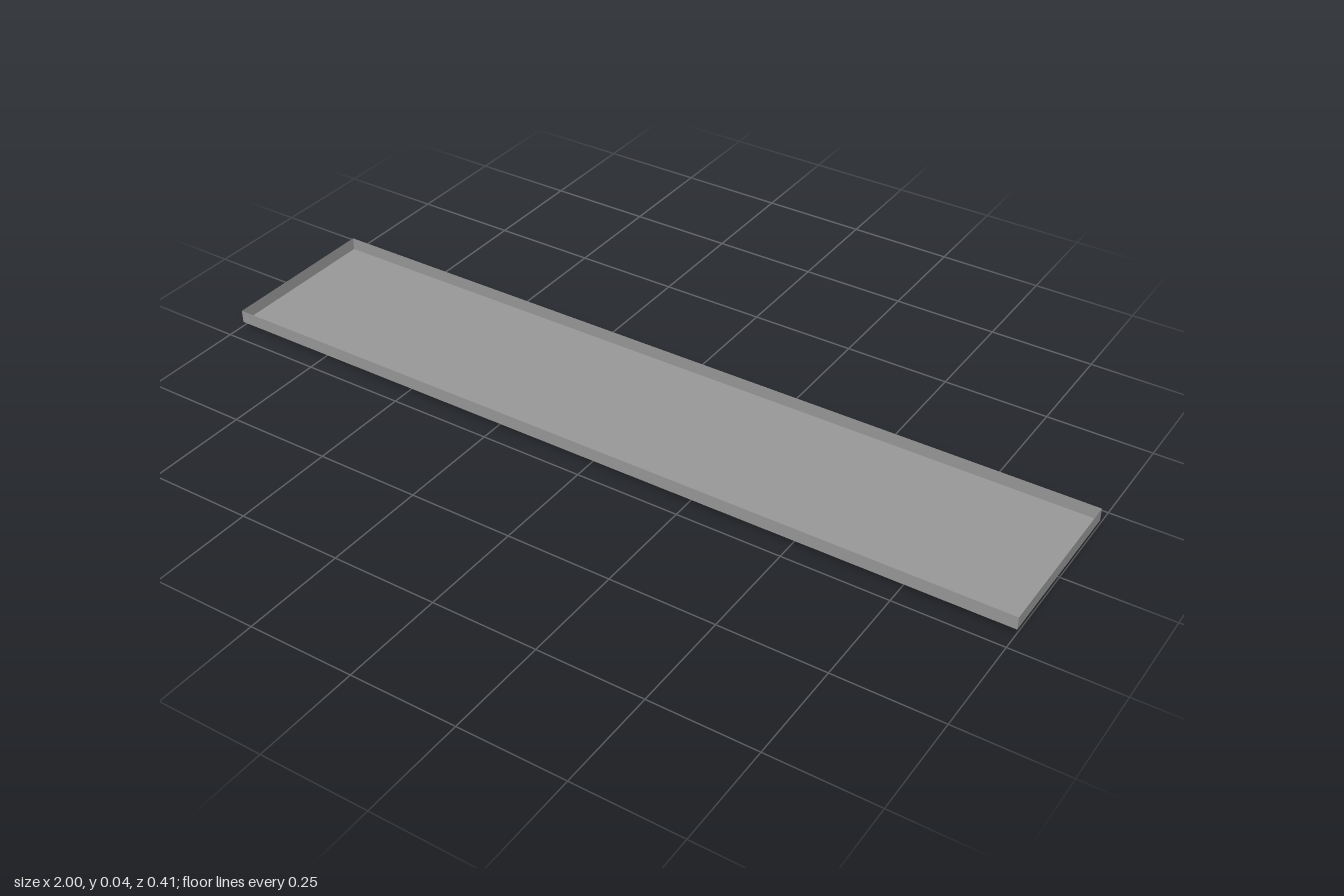
import * as THREE from 'three';

const LENGTH = 2, DEPTH = 0.406, BASE = 0.0105, TOP = 0.0415;

export function createModel() {
  const model = new THREE.Group();
  model.name = 'tray';
  const sheet = new THREE.MeshStandardMaterial({ color: 0x999999, side: THREE.DoubleSide, flatShading: true });
  const solid = new THREE.MeshStandardMaterial({ color: 0x999999, flatShading: true });

  const add = (name, geometry, material, x, y, z) => {
    const mesh = new THREE.Mesh(geometry, material);
    mesh.name = name;
    mesh.position.set(x, y, z);
    model.add(mesh);
    return mesh;
  };

  // Thin floor sheet
  add('floor', new THREE.PlaneGeometry(LENGTH, DEPTH).rotateX(-Math.PI / 2), sheet, 0, BASE, 0);

  // Thin upright walls around the open top
  const height = TOP - BASE, middle = (TOP + BASE) / 2;
  for (const side of [1, -1]) {
    add(side > 0 ? 'frontWall' : 'backWall', new THREE.PlaneGeometry(LENGTH, height), sheet,
      0, middle, side * DEPTH / 2).rotation.y = side > 0 ? 0 : Math.PI;
    add(side > 0 ? 'leftWall' : 'rightWall', new THREE.PlaneGeometry(DEPTH, height), sheet,
      side * LENGTH / 2, middle, 0).rotation.y = side * Math.PI / 2;
  }

  // Row of hexagonal studs under the floor, corners pointing along x
  const studHeight = BASE - 0.0003;
  const stud = new THREE.CylinderGeometry(0.027, 0.027, studHeight, 6).rotateY(Math.PI / 2);
  for (const x of [-0.888, -0.647, -0.372, -0.097, 0.179, 0.454, 0.729, 0.949]) {
    add('stud', stud, solid, x, studHeight / 2, 0.005);
  }
  return model;
}
